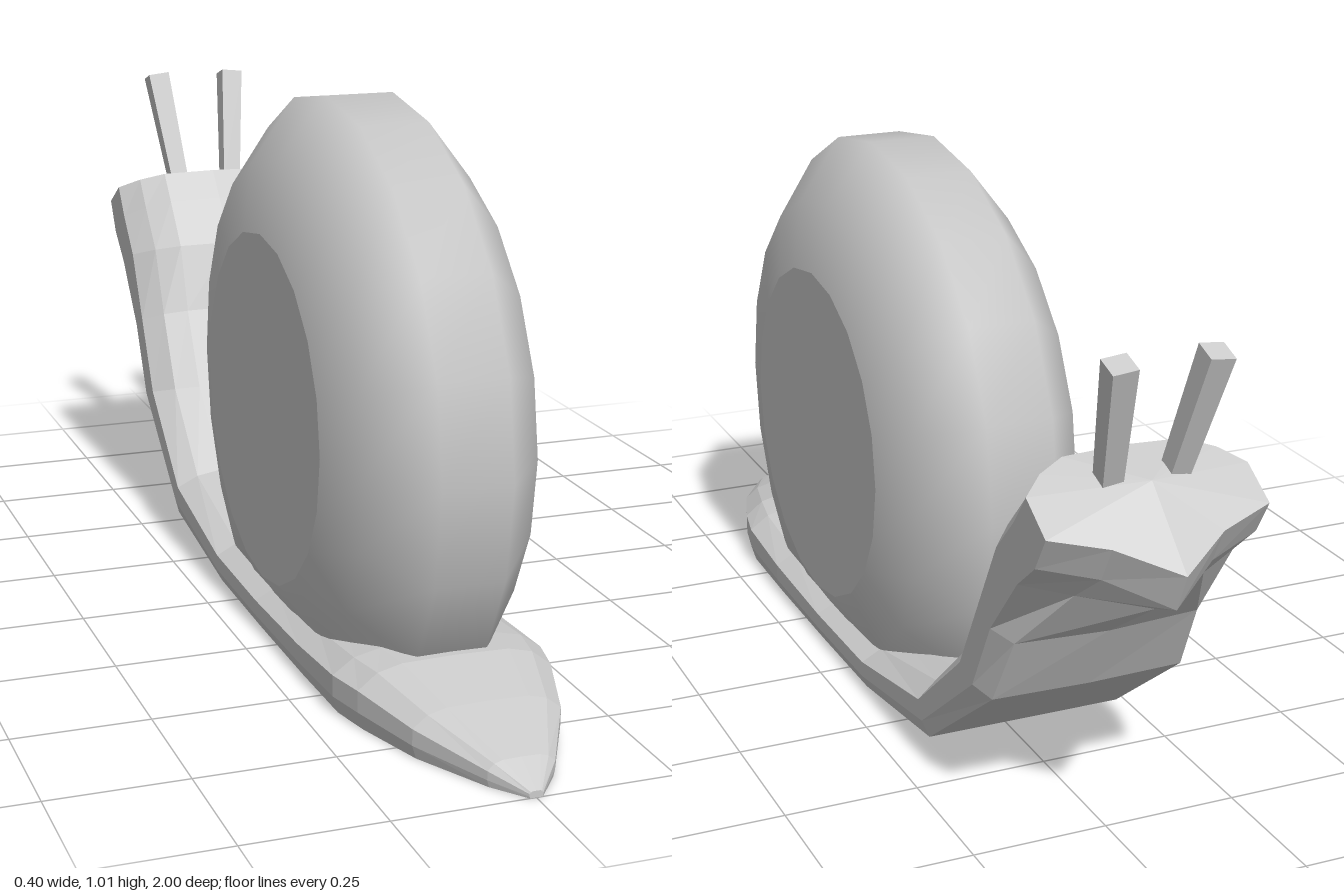
import * as THREE from 'three';

const mat = (opts = {}) => new THREE.MeshStandardMaterial({ color: 0xcccccc, ...opts });

function add(parent, name, geometry, material) {
  const mesh = new THREE.Mesh(geometry, material);
  mesh.name = name;
  parent.add(mesh);
  return mesh;
}

// Foot, neck and head: one loft of cross-sections from tail tip to snout
function bodyGeometry() {
  // [back z, back y, belly z, belly y, half width, snout amount]
  const rings = [
    [1.0, 0.012, 1.0, 0.0, 0.012, 0],
    [0.94, 0.045, 0.94, 0.0, 0.06, 0],
    [0.8, 0.085, 0.8, 0.0, 0.135, 0],
    [0.66, 0.113, 0.66, 0.0, 0.18, 0],
    [0.58, 0.112, 0.58, 0.0, 0.197, 0],
    [0.4, 0.095, 0.4, 0.0, 0.2, 0],
    [0.15, 0.085, 0.15, 0.0, 0.2, 0],
    [-0.1, 0.09, -0.1, 0.004, 0.2, 0],
    [-0.367, 0.15, -0.415, 0.048, 0.2, 0],
    [-0.517, 0.29, -0.673, 0.24, 0.2, 0.1],
    [-0.6, 0.44, -0.743, 0.37, 0.2, 0.2],
    [-0.646, 0.574, -0.9, 0.477, 0.2, 0.8],
    [-0.72, 0.66, -0.97, 0.504, 0.2, 1],
    [-0.768, 0.713, -1.0, 0.574, 0.2, 1],
  ];
  const pos = [], index = [];
  for (const [dz, dy, vz, vy, w, s] of rings) {
    // [width fraction, depth fraction] down one side, then mirrored
    const half = [
      [0, 0], [0.55, 0.02], [0.8, 0.12], [1, 0.37 - 0.1 * s],
      [1, 0.72 - 0.13 * s], [0.95 - 0.45 * s, 1 - 0.27 * s], [0, 1],
    ];
    const ring = [...half, ...half.slice(1, -1).reverse().map(([x, t]) => [-x, t])];
    for (const [x, t] of ring) pos.push(x * w, dy + (vy - dy) * t, dz + (vz - dz) * t);
  }
  const n = 12, last = (rings.length - 1) * n;
  for (let k = 0; k < last; k += n) {
    for (let i = 0; i < n; i++) {
      const j = (i + 1) % n;
      index.push(k + i, k + j, k + n + j, k + i, k + n + j, k + n + i);
    }
  }
  // End caps: tail tip and slightly domed crown of the head
  const tail = pos.length / 3;
  pos.push(0, 0.006, 1, 0, 0.69, -0.875);
  for (let i = 0; i < n; i++) {
    const j = (i + 1) % n;
    index.push(j, i, tail, last + i, last + j, tail + 1);
  }
  const g = new THREE.BufferGeometry();
  g.setAttribute('position', new THREE.Float32BufferAttribute(pos, 3));
  g.setIndex(index);
  const flat = g.toNonIndexed();
  flat.computeVertexNormals();
  return flat;
}

// Flattens whatever lies below the back of the foot
function sitOnFoot(g) {
  const p = g.attributes.position;
  for (let i = 0; i < p.count; i++) p.setY(i, Math.max(p.getY(i), 0.06));
  return g;
}

export function createModel() {
  const snail = new THREE.Group();
  snail.name = 'snail';
  add(snail, 'body', bodyGeometry(), mat({ flatShading: true }));

  // Shell: smooth rounded wheel with a flat disc on each side
  const shell = new THREE.Group();
  shell.name = 'shell';
  snail.add(shell);
  const profile = [[0.33, 0.192], [0.46, 0.16], [0.577, 0.065]];
  const points = [
    ...profile.map(([r, x]) => new THREE.Vector2(r, -x)),
    ...profile.slice().reverse().map(([r, x]) => new THREE.Vector2(r, x)),
  ];
  const rim = new THREE.LatheGeometry(points, 20).rotateZ(Math.PI / 2).translate(0, 0.438, 0.17);
  add(shell, 'shellRim', sitOnFoot(rim), mat());

  for (const side of [1, -1]) {
    const name = side > 0 ? 'left' : 'right';
    const disc = new THREE.CircleGeometry(0.33, 20)
      .rotateY(side * Math.PI / 2).translate(side * 0.192, 0.438, 0.17);
    add(shell, name + 'ShellDisc', sitOnFoot(disc), mat());

    // Square eye stalk leaning forward and outward
    const base = new THREE.Vector3(side * 0.06, 0.68, -0.838);
    const tip = new THREE.Vector3(side * 0.085, 0.908, -0.916);
    const length = base.distanceTo(tip);
    const stalk = add(snail, name + 'EyeStalk',
      new THREE.CylinderGeometry(0.032, 0.026, length, 4).rotateY(Math.PI / 4),
      mat({ flatShading: true }));
    stalk.position.copy(base).lerp(tip, 0.5);
    stalk.quaternion.setFromUnitVectors(new THREE.Vector3(0, 1, 0), tip.sub(base).normalize());
  }
  return snail;
}
